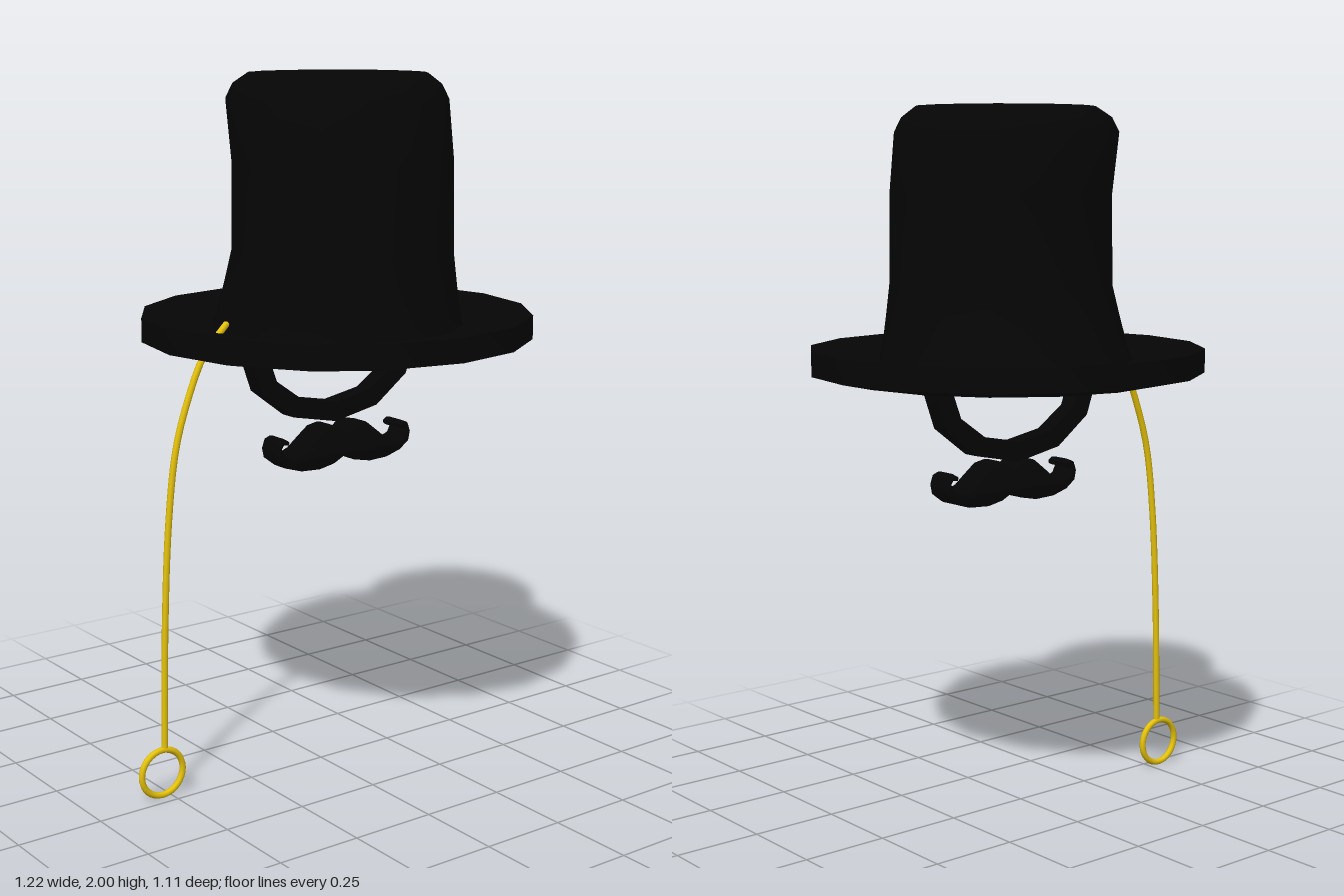
import * as THREE from 'three';
import { toCreasedNormals } from 'three/addons/utils/BufferGeometryUtils.js';

const CENTER_X = 0.053;
const v2 = ([x, y]) => new THREE.Vector2(x, y);

export function createModel() {
  const group = new THREE.Group();
  const black = new THREE.MeshStandardMaterial({ name: 'black felt', color: 0x050505 });
  const gold = new THREE.MeshStandardMaterial({ name: 'gold', color: 0xecc80c });

  const add = (name, geometry, material, x = 0, y = 0, z = 0) => {
    const mesh = new THREE.Mesh(geometry, material);
    mesh.name = name;
    mesh.position.set(x, y, z);
    group.add(mesh);
    return mesh;
  };

  // Wide sixteen-sided brim: bevelled underside, top sloping down towards the crown
  const brim = [[0, 1.25], [0.46, 1.25], [0.555, 1.27], [0.555, 1.337], [0.46, 1.318], [0.35, 1.303], [0, 1.303]];
  add('brim', toCreasedNormals(new THREE.LatheGeometry(brim.map(v2), 16), 0.8), black, CENTER_X);

  // Crown: rings of radius, height and z offset, so the back dips inwards
  const rings = [
    [0.358, 1.3, 0.004], [0.347, 1.335, 0.008], [0.33, 1.42, 0.017], [0.314, 1.51, 0.026],
    [0.311, 1.76, 0.026], [0.312, 1.93, 0], [0.292, 1.97, 0], [0.25, 2, 0.005], [0, 2, 0.005],
  ];
  const crown = new THREE.LatheGeometry(rings.map(v2), 16);
  const pos = crown.attributes.position;
  for (let i = 0; i < pos.count; i++) {
    pos.setZ(i, pos.getZ(i) + rings[i % rings.length][2]);
  }
  add('crown', toCreasedNormals(crown, 0.85), black, CENTER_X);

  // Chin strap: half an elliptical band hanging under the brim
  const arc = (rx, ry) => Array.from({ length: 7 }, (_, i) => {
    const a = Math.PI + (i * Math.PI) / 6;
    return new THREE.Vector2(Math.cos(a) * rx, 1.24 + Math.sin(a) * ry);
  });
  const strapShape = new THREE.Shape([
    new THREE.Vector2(-0.296, 1.29), ...arc(0.296, 0.223), new THREE.Vector2(0.296, 1.29),
    new THREE.Vector2(0.235, 1.29), ...arc(0.237, 0.167).reverse(), new THREE.Vector2(-0.235, 1.29),
  ]);
  const strap = new THREE.ExtrudeGeometry(strapShape, { depth: 0.055, bevelEnabled: false });
  add('chinStrap', toCreasedNormals(strap, 0.7), black, CENTER_X, 0, -0.055);

  // Moustache: one mirrored outline with curled tips, upper edge then lower edge
  const upper = [
    [0, 0.988], [0.02, 1.008], [0.045, 1.017], [0.08, 1.01], [0.115, 0.983], [0.15, 0.955],
    [0.185, 0.942], [0.212, 0.952], [0.222, 0.972], [0.214, 0.984], [0.198, 0.981],
  ];
  const lower = [
    [0.196, 0.99], [0.21, 0.998], [0.228, 0.991], [0.237, 0.965], [0.231, 0.938],
    [0.2, 0.915], [0.15, 0.9], [0.09, 0.897], [0.04, 0.907], [0, 0.927],
  ];
  const half = [...upper, ...lower];
  const mirrored = half.slice(1, -1).reverse().map(([x, y]) => [-x, y]);
  const moustache = new THREE.ExtrudeGeometry(new THREE.Shape([...half, ...mirrored].map(v2)), {
    depth: 0.053, bevelThickness: 0.016, bevelSize: 0.007, bevelOffset: -0.005, bevelSegments: 2,
  });
  add('moustache', toCreasedNormals(moustache, 0.8), black, CENTER_X, 0, -0.019);

  // Cord hanging through the brim down to the eyeglass
  const path = new THREE.CatmullRomCurve3([
    [-0.3, 1.328], [-0.373, 1.25], [-0.428, 1.13], [-0.468, 1],
    [-0.495, 0.8], [-0.513, 0.5], [-0.522, 0.15],
  ].map(([x, y]) => new THREE.Vector3(x, y, -0.031)));
  add('monocleCord', new THREE.TubeGeometry(path, 28, 0.0095, 8), gold);
  add('cordEnd', new THREE.SphereGeometry(0.0095, 8, 6), gold, -0.3, 1.328, -0.031);

  // Open eyeglass ring
  add('monocleRing', new THREE.TorusGeometry(0.067, 0.0092, 8, 32), gold, -0.531, 0.077, -0.031);

  return group;
}
